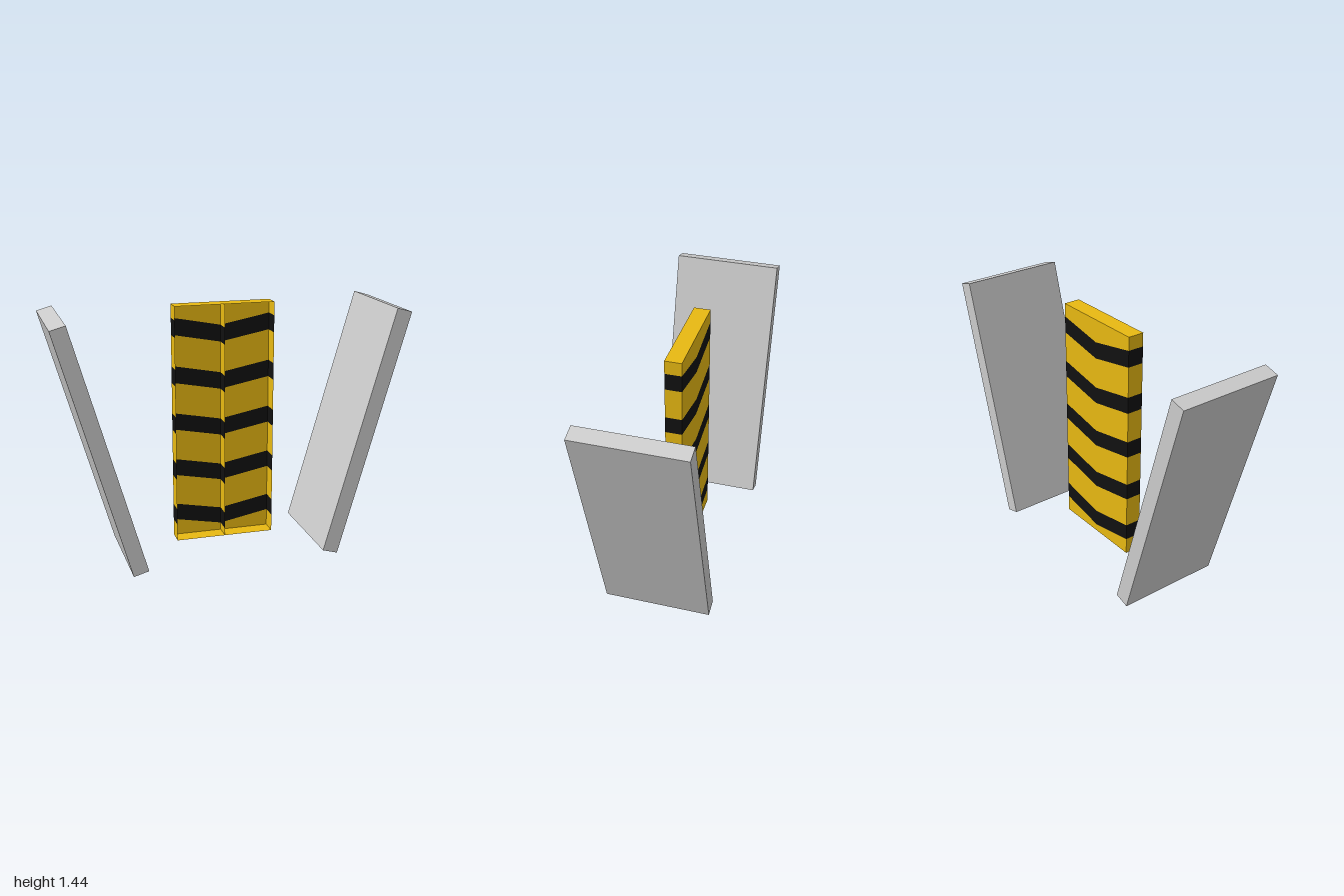
import * as THREE from 'three';

const HALF = 0.287, FRONT = 0.035, BACK = -0.06, BOTTOM = 0.07, TOP = 1.445;
const grey = new THREE.MeshStandardMaterial({ color: 0xcccccc });
const yellow = new THREE.MeshStandardMaterial({ color: 0xe8b912, side: THREE.DoubleSide });
const black = new THREE.MeshStandardMaterial({ color: 0x111111, side: THREE.DoubleSide });

// Plan of the open-fronted tray: wall, back (two halves), wall
const outline = [[HALF, FRONT], [HALF, BACK], [0, BACK], [-HALF, BACK], [-HALF, FRONT]];
const divider = [[0, FRONT], [0, BACK]];

// One chevron band wrapped over the walls, back and divider.
// lower and upper are [height at the outer edge, height at the centre].
function bandGeometry(lower, upper) {
  const points = [];
  const at = ([x, z], level) => [x, x === 0 ? level[1] : level[0], z];
  for (const path of [outline, divider]) {
    for (let i = 0; i + 1 < path.length; i++) {
      const [p, q] = [path[i], path[i + 1]];
      const a = at(p, lower), b = at(q, lower), c = at(q, upper), d = at(p, upper);
      points.push(...a, ...b, ...c, ...a, ...c, ...d);
    }
  }
  const geometry = new THREE.BufferGeometry();
  geometry.setAttribute('position', new THREE.Float32BufferAttribute(points, 3));
  geometry.computeVertexNormals();
  return geometry;
}

function addMesh(parent, name, geometry, material) {
  const mesh = new THREE.Mesh(geometry, material);
  mesh.name = name;
  parent.add(mesh);
  return mesh;
}

export function createModel() {
  const model = new THREE.Group();
  model.name = 'stripedBarrier';

  // Leaning slabs, mirrored
  for (const side of [1, -1]) {
    const slab = addMesh(model, side > 0 ? 'leftSlab' : 'rightSlab',
      new THREE.BoxGeometry(0.09, 1.455, 0.61), grey);
    slab.position.set(side * 0.757, 0.712, 0);
    slab.rotation.z = -side * THREE.MathUtils.degToRad(15.9);
  }

  // Striped tray: alternating yellow and black bands
  const tray = new THREE.Group();
  tray.name = 'stripedTray';
  model.add(tray);
  let level = [BOTTOM, BOTTOM];
  for (let i = 0; i < 5; i++) {
    const y = 0.113 + i * 0.2755;
    const low = [y + 0.055, y], high = [y + 0.152, y + 0.097];
    addMesh(tray, 'yellowBand', bandGeometry(level, low), yellow);
    addMesh(tray, 'blackStripe', bandGeometry(low, high), black);
    level = high;
  }
  addMesh(tray, 'yellowBand', bandGeometry(level, [TOP, TOP]), yellow);

  // Thin caps closing the tray above and below
  for (const [name, y, turn] of [['topCap', TOP, -1], ['bottomCap', BOTTOM, 1]]) {
    const cap = addMesh(tray, name, new THREE.PlaneGeometry(2 * HALF, FRONT - BACK), yellow);
    cap.rotation.x = turn * Math.PI / 2;
    cap.position.set(0, y, (FRONT + BACK) / 2);
  }
  return model;
}
